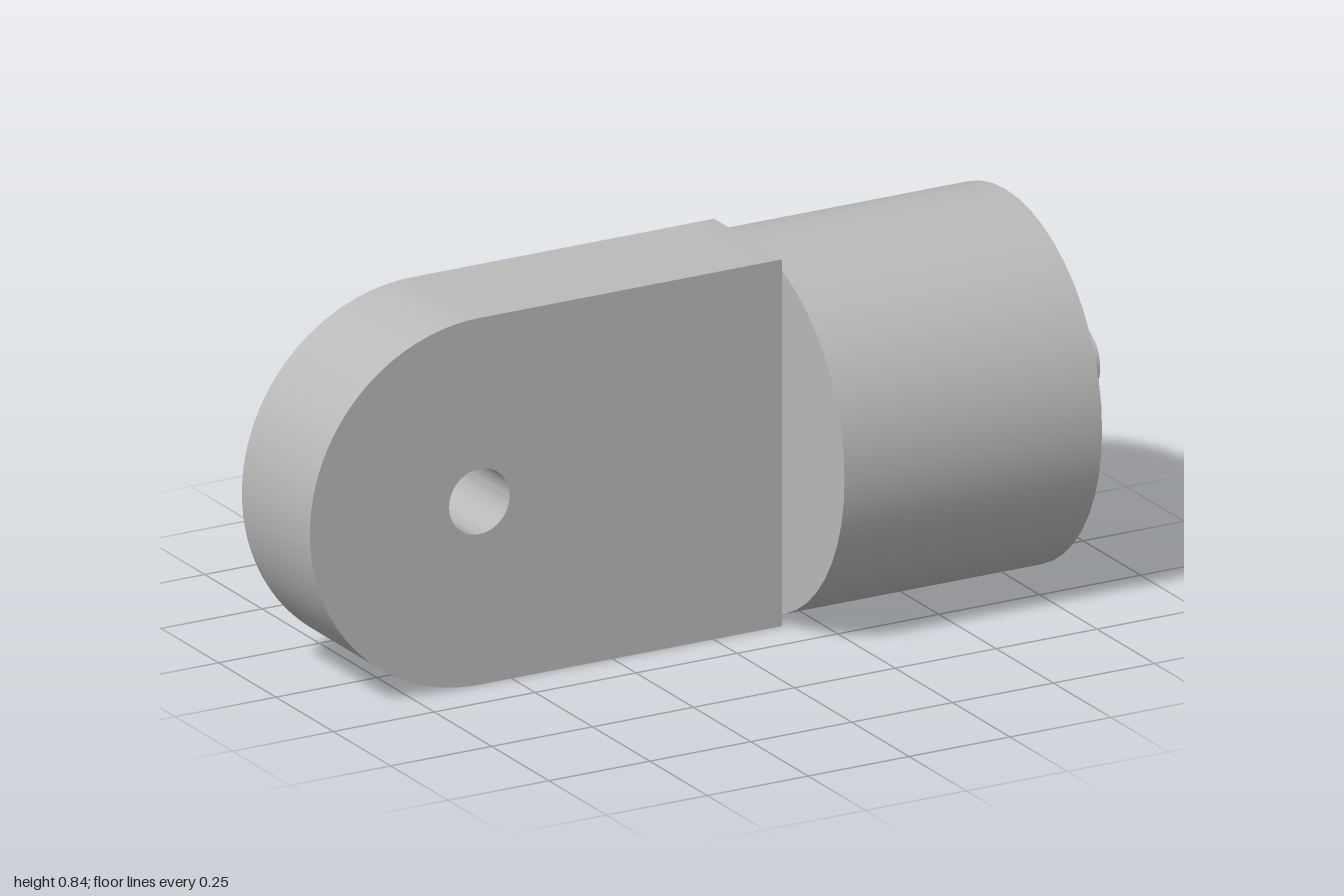
import * as THREE from 'three';
import { toCreasedNormals } from 'three/addons/utils/BufferGeometryUtils.js';

const R = 0.42;            // body radius, also half the lug height
const JOINT = 0.17;        // where the lug meets the body
const HALF_THICK = 0.148;  // half the lug thickness
const HOLE_X = -0.58;

export function createModel() {
  const group = new THREE.Group();
  const steel = new THREE.MeshStandardMaterial({ color: 0xbababa });
  steel.name = 'steel grey';

  const add = (name, geometry) => {
    const mesh = new THREE.Mesh(geometry, steel);
    mesh.name = name;
    group.add(mesh);
    return mesh;
  };

  // Flat lug with a rounded end and a cross hole
  const outline = new THREE.Shape();
  outline.moveTo(JOINT, R);
  outline.lineTo(HOLE_X, R);
  outline.absarc(HOLE_X, 0, R, Math.PI / 2, Math.PI * 1.5, false);
  outline.lineTo(JOINT, -R);
  outline.closePath();
  const hole = new THREE.Path();
  hole.absarc(HOLE_X, 0, 0.075, 0, Math.PI * 2, true);
  outline.holes.push(hole);
  const lug = new THREE.ExtrudeGeometry(outline, {
    depth: HALF_THICK * 2, bevelEnabled: false, curveSegments: 24,
  });
  lug.translate(0, R, -HALF_THICK);
  add('lug', toCreasedNormals(lug, 0.6));

  // Round parts lying along x
  const rod = (name, radius, x0, x1, sides) => {
    const geometry = new THREE.CylinderGeometry(radius, radius, x1 - x0, sides);
    geometry.rotateZ(-Math.PI / 2);
    geometry.translate((x0 + x1) / 2, R, 0);
    add(name, geometry);
  };
  rod('body', R, JOINT, 0.808, 48);
  rod('pin', 0.074, 0.808, 1, 24);

  return group;
}
